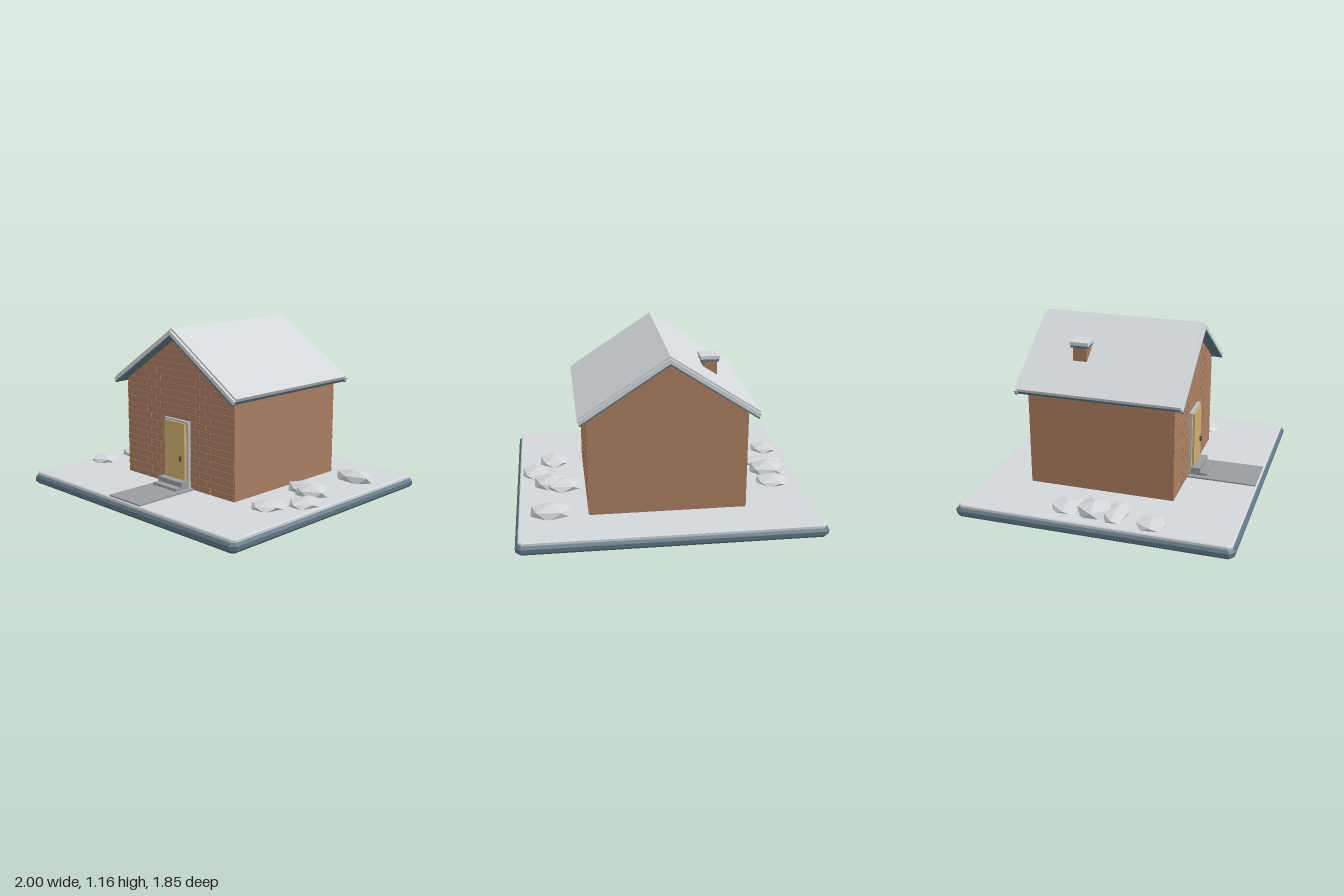
import * as THREE from 'three';

const mat = (name, color) => {
  const m = new THREE.MeshStandardMaterial({ color });
  m.name = name;
  m.flatShading = true;
  return m;
};

export function createModel() {
  const house = new THREE.Group();
  house.name = 'cottage';
  const snow = mat('pale snow', 0xd3d7da), slate = mat('blue slate', 0x5d7683),
    brick = mat('brick', 0xaa7d60), wood = mat('door yellow', 0xcfad6c),
    stone = mat('grey stone', 0x979da0), trim = mat('trim grey', 0xb9bdc0),
    metal = mat('dark metal', 0x50504c);

  const add = (name, geo, m, parent = house) => {
    const mesh = new THREE.Mesh(geo, m);
    mesh.name = name;
    parent.add(mesh);
    return mesh;
  };
  // Box given by its minimum and maximum on each axis
  const box = (name, m, x0, x1, y0, y1, z0, z1, parent) => {
    const b = add(name, new THREE.BoxGeometry(x1 - x0, y1 - y0, z1 - z0), m, parent);
    b.position.set((x0 + x1) / 2, (y0 + y1) / 2, (z0 + z1) / 2);
    return b;
  };
  const group = (name) => {
    const g = new THREE.Group();
    g.name = name;
    house.add(g);
    return g;
  };
  const outline = (pts) => new THREE.Shape(pts.map(([x, y]) => new THREE.Vector2(x, y)));
  const prism = (pts, z0, z1) =>
    new THREE.ExtrudeGeometry(outline(pts), { depth: z1 - z0, bevelEnabled: false }).translate(0, 0, z0);

  // Ground slabs with clipped corners and bevelled rims
  const slab = (name, m, hx, hz, y0, y1, bevel) => {
    const x = hx - bevel, z = hz - bevel, c = 0.02;
    const shape = outline([[-x + c, -z], [x - c, -z], [x, -z + c], [x, z - c],
      [x - c, z], [-x + c, z], [-x, z - c], [-x, -z + c]]);
    const geo = new THREE.ExtrudeGeometry(shape, {
      depth: y1 - y0 - 2 * bevel, bevelThickness: bevel, bevelSize: bevel, bevelSegments: 1,
    });
    add(name, geo.rotateX(-Math.PI / 2).translate(0, y0 + bevel, 0), m);
  };
  slab('groundBase', slate, 1, 0.927, 0, 0.066, 0.02);
  slab('groundTop', snow, 0.983, 0.91, 0.055, 0.085, 0.006);

  // Walls with gable ends
  const ground = 0.085, slope = 0.66, ridge = 1.165, wallX = 0.52;
  const gable = ridge - 0.058;
  const eave = gable - slope * wallX;
  add('walls', prism([[-wallX, ground], [wallX, ground], [wallX, eave], [0, gable], [-wallX, eave]], -0.58, 0.42), brick);

  // Brick courses on the front and the left side
  const courses = group('brickCourses');
  const pitch = 0.047, gap = 0.008;
  for (let i = 0; i < 21; i++) {
    const y0 = ground + 0.004 + i * pitch, y1 = y0 + pitch - gap;
    const half = Math.min(wallX, (gable - y1) / slope);
    if (half < 0.03) break;
    const inner = y0 < 0.53 ? 0.12 : 0;
    const joints = (i % 2 ? [0.17, 0.27] : [0.21, 0.31]).filter((x) => x < half - 0.02 && y0 < 0.85);
    const stops = [inner, ...joints, half];
    for (const s of [-1, 1]) {
      for (let k = 0; k < stops.length - 1; k++) {
        const a = stops[k] + (k ? gap / 2 : 0);
        const b = stops[k + 1] - (k < stops.length - 2 ? gap / 2 : 0);
        box('frontBrick', brick, Math.min(s * a, s * b), Math.max(s * a, s * b), y0, y1, 0.419, 0.425, courses);
      }
    }
    if (y1 < eave) box('sideCourse', brick, 0.519, 0.525, y0, y1, -0.58, 0.42, courses);
  }

  // Roof layers follow one chevron section
  const chevron = (name, m, half, top, bottom, z0, z1) => {
    const y = (x, o) => ridge - o - slope * x;
    const inX = half - (bottom - top) * 0.45;
    add(name, prism([[-inX, y(inX, bottom)], [0, y(0, bottom)], [inX, y(inX, bottom)],
      [half, y(half, top)], [0, y(0, top)], [-half, y(half, top)]], z0, z1), m);
  };
  chevron('roofSnow', snow, 0.587, 0, 0.03, -0.635, 0.475);
  chevron('roofDeck', slate, 0.575, 0.03, 0.056, -0.635, 0.475);
  for (const [z0, z1] of [[0.475, 0.493], [-0.655, -0.635]]) {
    chevron('gableBoard', snow, 0.587, 0.014, 0.044, z0, z1);
    chevron('gableBoardUnderside', slate, 0.575, 0.044, 0.056, z0, z1);
  }

  // Chimney
  const chimney = group('chimney');
  box('stack', brick, -0.355, -0.26, 0.88, 1.03, -0.32, -0.225, chimney);
  box('capBase', slate, -0.365, -0.248, 1.025, 1.042, -0.332, -0.213, chimney);
  box('capSnow', snow, -0.37, -0.243, 1.042, 1.065, -0.338, -0.207, chimney);

  // Front door
  const door = group('door');
  for (const s of [-1, 1]) {
    const x = s * 0.108;
    box('doorJamb', trim, x - 0.01, x + 0.01, ground, 0.53, 0.41, 0.442, door);
  }
  box('doorLintel', trim, -0.118, 0.118, 0.53, 0.55, 0.41, 0.442, door);
  box('doorRecess', stone, -0.098, 0.098, 0.145, 0.53, 0.41, 0.428, door);
  box('doorLeaf', wood, -0.098, 0.093, 0.145, 0.537, 0.428, 0.456, door);
  box('doorHandle', metal, 0.056, 0.066, 0.275, 0.31, 0.456, 0.471, door);

  // Steps and path
  box('upperStep', stone, -0.115, 0.115, ground, 0.145, 0.42, 0.505);
  box('lowerStep', stone, -0.115, 0.115, ground, 0.112, 0.505, 0.553);
  box('path', stone, -0.152, 0.152, 0.08, 0.095, 0.42, 0.9);

  // Faceted snow-covered boulders: x, z, radius x, radius z, top height
  const boulders = [
    [-0.79, -0.21, 0.12, 0.11, 0.125], [-0.795, -0.02, 0.13, 0.12, 0.16],
    [-0.785, 0.125, 0.165, 0.08, 0.13], [-0.865, 0.375, 0.1, 0.105, 0.13],
    [0.77, -0.53, 0.145, 0.098, 0.162], [0.68, -0.11, 0.135, 0.12, 0.145],
    [0.76, -0.07, 0.125, 0.115, 0.158], [0.87, 0.13, 0.097, 0.13, 0.13],
    [0.735, 0.33, 0.105, 0.13, 0.13],
  ];
  const rocks = group('boulders');
  boulders.forEach(([x, z, rx, rz, top], i) => {
    const geo = new THREE.IcosahedronGeometry(1, 0)
      .rotateZ(Math.atan(2 / (1 + Math.sqrt(5)))).rotateY(i * 1.3);
    const h = top - 0.1;
    geo.scale(rx * 1.08, Math.max(h, 0.034), rz * 1.08);
    const rock = add('boulder', geo, snow, rocks);
    rock.position.set(x, top - Math.max(h, 0.034), z);
  });

  return house;
}
